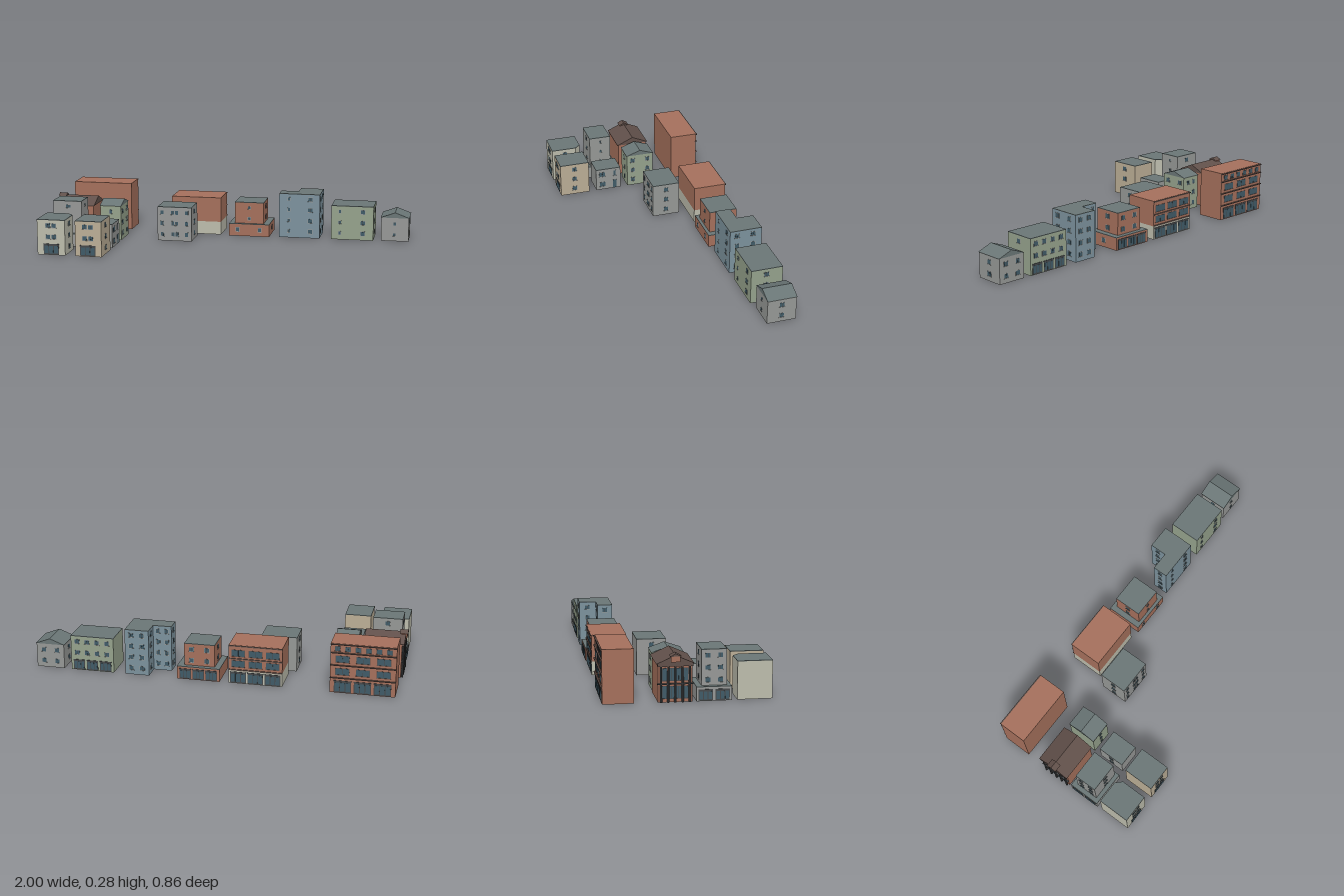
import * as THREE from 'three';

const mats = {};
const mat = (c) => (mats[c] ??= new THREE.MeshStandardMaterial({ color: c, flatShading: true }));
const C = {
  brick: 0xa5705c, slate: 0x6a7676, brown: 0x61504a, grey: 0x969896, cream: 0xbcbcac,
  tan: 0xbbae96, green: 0x95a28c, blue: 0x7c929d, pane: 0x405b67, dark: 0x45484a,
};
const FLOORS = [0.038, 0.101, 0.164, 0.226];

function add(parent, name, geo, color) {
  const m = new THREE.Mesh(geo, mat(color));
  m.name = name;
  parent.add(m);
  return m;
}

// Box from its limits
function block(parent, name, x0, x1, y0, y1, z0, z1, color) {
  const m = add(parent, name, new THREE.BoxGeometry(x1 - x0, y1 - y0, z1 - z0), color);
  m.position.set((x0 + x1) / 2, (y0 + y1) / 2, (z0 + z1) / 2);
  return m;
}

// Vertical prism over a plan of [x, z] corners
function prism(parent, name, plan, y0, y1, color) {
  const shape = new THREE.Shape(plan.map(([x, z]) => new THREE.Vector2(x, -z)));
  const geo = new THREE.ExtrudeGeometry(shape, { depth: y1 - y0, bevelEnabled: false });
  geo.rotateX(-Math.PI / 2).translate(0, y0, 0);
  return add(parent, name, geo, color);
}

// Triangular roof with its ridge along x or z
function gable(parent, axis, x0, x1, z0, z1, y0, y1, color) {
  const along = axis === 'x';
  const half = (along ? z1 - z0 : x1 - x0) / 2;
  const len = along ? x1 - x0 : z1 - z0;
  const s = new THREE.Shape([new THREE.Vector2(-half, 0), new THREE.Vector2(half, 0), new THREE.Vector2(0, y1 - y0)]);
  const geo = new THREE.ExtrudeGeometry(s, { depth: len, bevelEnabled: false });
  geo.translate(0, 0, -len / 2);
  if (along) geo.rotateY(Math.PI / 2);
  geo.translate((x0 + x1) / 2, y0, (z0 + z1) / 2);
  return add(parent, 'gableRoof', geo, color);
}

// Wall block with a thin flat roof
function storey(parent, b, y0, y1, color, roof = C.slate) {
  block(parent, 'walls', b[0], b[1], y0, y1 - 0.003, b[2], b[3], color);
  block(parent, 'flatRoof', b[0], b[1], y1 - 0.003, y1, b[2], b[3], roof);
}

// Place a thin panel on one side of a footprint b = [x0, x1, z0, z1]
function panel(parent, name, b, side, u, y, w, h, t, color) {
  const alongX = side[1] === 'z';
  const face = b[(alongX ? 2 : 0) + (side[0] === '+' ? 1 : 0)];
  const m = add(parent, name, alongX ? new THREE.BoxGeometry(w, h, t * 2) : new THREE.BoxGeometry(t * 2, h, w), color);
  m.position.set(alongX ? u : face, y, alongX ? face : u);
}

// Grid of windows: frame, pane and sill at each position
function windows(parent, b, side, us, ys, w = 0.024, h = 0.022, frame = C.grey) {
  for (const u of us) for (const y of ys) {
    panel(parent, 'windowFrame', b, side, u, y, w + 0.004, h + 0.004, 0.001, frame);
    panel(parent, 'windowPane', b, side, u, y, w, h, 0.0016, C.pane);
    panel(parent, 'windowBar', b, side, u, y, 0.0015, h, 0.002, C.dark);
    panel(parent, 'windowSill', b, side, u, y - h / 2 - 0.002, w + 0.006, 0.002, 0.003, frame);
  }
}

// Shop windows and door panels at street level
function shops(parent, b, side, us, w, h = 0.05) {
  for (const u of us) {
    panel(parent, 'shopSurround', b, side, u, 0.006 + h / 2, w + 0.006, h + 0.006, 0.001, C.dark);
    for (const k of [-1, 0, 1])
      panel(parent, 'shopPane', b, side, u + k * w / 3, 0.006 + h / 2, w / 3 - 0.004, h - 0.006, 0.002, C.pane);
    panel(parent, 'shopFascia', b, side, u, h + 0.011, w + 0.008, 0.006, 0.003, C.dark);
  }
}

const spread = (a, b, n) => Array.from({ length: n }, (_, i) => a + (b - a) * (i + 0.5) / n);

export function createModel() {
  const town = new THREE.Group();
  town.name = 'townBuildings';
  const building = (name) => {
    const g = new THREE.Group();
    g.name = name;
    town.add(g);
    return g;
  };
  let g, b;

  // Large brick block with ledges and a coping on the street side
  g = building('largeBrickBlock');
  b = [-0.975, -0.63, -0.422, -0.265];
  storey(g, b, 0, 0.275, C.brick, C.brick);
  for (const y of [0.084, 0.155, 0.224, 0.271]) panel(g, 'ledge', b, '-z', -0.8025, y, 0.345, 0.005, 0.007, C.brown);
  shops(g, b, '-z', spread(-0.96, -0.645, 3), 0.085, 0.055);
  windows(g, b, '-z', spread(-0.965, -0.64, 3), [0.12, 0.19], 0.07, 0.034, C.brown);
  windows(g, b, '-z', spread(-0.965, -0.64, 6), [0.247], 0.026, 0.024, C.brown);

  // Brick hall with a gabled roof and columned entrance
  g = building('brickHall');
  b = [-0.975, -0.775, -0.147, 0.025];
  block(g, 'walls', b[0], b[1], 0, 0.198, b[2], b[3], C.brick);
  gable(g, 'x', -0.988, -0.77, -0.157, 0.032, 0.196, 0.238, C.brown);
  block(g, 'ridgeTurret', -0.995, -0.96, 0.205, 0.236, -0.085, -0.038, C.brick);
  gable(g, 'x', -1, -0.955, -0.09, -0.033, 0.234, 0.249, C.brown);
  for (const z of spread(-0.15, 0.028, 5)) {
    const col = add(g, 'column', new THREE.CylinderGeometry(0.005, 0.006, 0.185, 8), C.dark);
    col.position.set(-0.982, 0.0925, z);
  }
  block(g, 'entablature', -0.988, -0.974, 0.182, 0.198, -0.15, 0.028, C.brown);
  block(g, 'midBand', -0.984, -0.974, 0.09, 0.096, -0.15, 0.028, C.dark);
  windows(g, b, '-x', spread(-0.132, 0.01, 4), [0.05, 0.14], 0.022, 0.06, C.dark);

  // Green gabled house
  g = building('greenGabledHouse');
  b = [-0.738, -0.617, -0.143, 0.016];
  block(g, 'walls', b[0], b[1], 0, 0.197, b[2], b[3], C.green);
  gable(g, 'x', -0.74, -0.615, -0.147, 0.02, 0.197, 0.226, C.slate);
  windows(g, b, '+x', [-0.018, -0.11], FLOORS.slice(0, 3));
  windows(g, b, '-z', [-0.7, -0.655], FLOORS.slice(0, 3), 0.018);
  windows(g, b, '+z', [-0.677], FLOORS.slice(0, 3), 0.014);

  // Grey corner house
  g = building('greyHouse');
  b = [-0.412, -0.215, -0.18, -0.023];
  storey(g, b, 0, 0.196, C.grey);
  windows(g, b, '+z', [-0.385, -0.323, -0.3, -0.243], FLOORS.slice(0, 3), 0.017);
  windows(g, b, '+x', [-0.1], FLOORS.slice(0, 3));
  windows(g, b, '-x', [-0.1], FLOORS.slice(0, 3));

  // Brick store above a pale ground floor
  g = building('brickStore');
  b = [-0.375, -0.085, -0.415, -0.23];
  block(g, 'groundFloor', b[0], b[1], 0, 0.075, b[2], b[3], C.cream);
  storey(g, b, 0.075, 0.217, C.brick, C.brick);
  shops(g, b, '-z', spread(-0.37, -0.09, 3), 0.08, 0.052);
  windows(g, b, '-z', spread(-0.37, -0.09, 3), [0.112, 0.172], 0.07, 0.034, C.brown);
  for (const y of [0.077, 0.14, 0.213]) panel(g, 'ledge', b, '-z', -0.23, y, 0.29, 0.006, 0.005, C.brown);

  // Stepped brick building
  g = building('steppedBrickBuilding');
  b = [-0.035, 0.2, -0.418, -0.218];
  storey(g, b, 0, 0.072, C.brick);
  windows(g, b, '+z', [0.015, 0.145], [FLOORS[0]], 0.018);
  windows(g, b, '+x', [-0.32], [FLOORS[0]]);
  shops(g, b, '-z', spread(-0.025, 0.19, 3), 0.058, 0.046);
  b = [-0.003, 0.165, -0.392, -0.235];
  storey(g, b, 0.072, 0.196, C.brick);
  windows(g, b, '+z', [0.081], FLOORS.slice(1, 3), 0.014, 0.014);
  windows(g, b, '-z', [0.04, 0.125], FLOORS.slice(1, 3));
  for (const s of ['+x', '-x']) windows(g, b, s, [-0.313], FLOORS.slice(1, 3));

  // Blue L-shaped apartments
  g = building('blueApartments');
  b = [0.255, 0.49, -0.415, -0.235];
  const plan = [[0.255, -0.235], [0.49, -0.235], [0.49, -0.415], [0.357, -0.415], [0.357, -0.32], [0.255, -0.32]];
  prism(g, 'walls', plan, 0, 0.253, C.blue);
  prism(g, 'flatRoof', plan, 0.253, 0.256, C.slate);
  windows(g, b, '+z', [0.312], FLOORS, 0.013, 0.016);
  windows(g, b, '+z', [0.435], FLOORS);
  windows(g, b, '+x', [-0.275, -0.366], FLOORS);
  windows(g, b, '-z', [0.395, 0.455], FLOORS);
  windows(g, [0.255, 0.357, -0.32, -0.235], '-z', [0.282, 0.33], FLOORS, 0.02);
  windows(g, [0.357, 0.49, -0.415, -0.32], '-x', [-0.37], FLOORS);
  windows(g, b, '-x', [-0.278], FLOORS);

  // Green flat-roofed building
  g = building('greenBuilding');
  b = [0.556, 0.797, -0.415, -0.24];
  storey(g, b, 0, 0.196, C.green);
  windows(g, b, '+z', [0.605], FLOORS.slice(0, 3), 0.013, 0.016);
  windows(g, b, '+z', [0.737], FLOORS.slice(0, 3));
  windows(g, b, '+x', [-0.325], FLOORS.slice(0, 3));
  windows(g, b, '-z', spread(0.565, 0.79, 4), FLOORS.slice(1, 3));
  shops(g, b, '-z', spread(0.565, 0.79, 3), 0.058, 0.046);

  // Small grey gabled house
  g = building('smallGabledHouse');
  b = [0.84, 0.996, -0.413, -0.255];
  block(g, 'walls', b[0], b[1], 0, 0.135, b[2], b[3], C.grey);
  gable(g, 'z', 0.837, 1, -0.415, -0.253, 0.135, 0.166, C.slate);
  windows(g, b, '+z', [0.916], FLOORS.slice(0, 2), 0.014, 0.016);
  for (const s of ['+x', '-x']) windows(g, b, s, [-0.333], FLOORS.slice(0, 2));
  windows(g, b, '-z', [0.88, 0.955], FLOORS.slice(0, 2));

  // Stepped grey building
  g = building('steppedGreyBuilding');
  b = [-0.98, -0.78, 0.045, 0.222];
  storey(g, b, 0, 0.073, C.grey);
  shops(g, b, '-x', [0.09, 0.175], 0.065, 0.046);
  b = [-0.955, -0.792, 0.073, 0.2];
  storey(g, b, 0.073, 0.256, C.grey);
  windows(g, b, '+x', [0.134], FLOORS.slice(1), 0.012, 0.013);
  windows(g, b, '+z', [-0.867], FLOORS.slice(1), 0.026, 0.016);
  windows(g, b, '-x', [0.105, 0.168], FLOORS.slice(1));
  windows(g, b, '-z', [-0.872], FLOORS.slice(1));

  // Low grey house with a side door
  g = building('lowGreyHouse');
  b = [-0.738, -0.615, 0.06, 0.21];
  storey(g, b, 0, 0.133, C.grey);
  windows(g, b, '+x', [0.172], [0.034, 0.1], 0.034, 0.026);
  windows(g, b, '+x', [0.096], [0.1], 0.014, 0.034);
  panel(g, 'door', b, '+x', 0.096, 0.029, 0.022, 0.05, 0.002, C.pane);
  windows(g, b, '-x', [0.135], FLOORS.slice(0, 2));

  // Cream house with a cut corner
  g = building('creamCornerHouse');
  b = [-0.975, -0.818, 0.25, 0.427];
  const cut = [[-0.975, 0.427], [-0.818, 0.427], [-0.818, 0.283], [-0.85, 0.25], [-0.975, 0.25]];
  prism(g, 'walls', cut, 0, 0.193, C.cream);
  prism(g, 'flatRoof', cut, 0.193, 0.196, C.slate);
  shops(g, b, '+z', [-0.897], 0.08, 0.048);
  windows(g, b, '+z', [-0.913, -0.88], FLOORS.slice(1, 3));
  windows(g, b, '+x', [0.35], FLOORS.slice(0, 3));

  // Tan house
  g = building('tanHouse');
  b = [-0.76, -0.613, 0.255, 0.427];
  storey(g, b, 0, 0.196, C.tan);
  shops(g, b, '+z', [-0.69], 0.08, 0.048);
  windows(g, b, '+z', [-0.706, -0.672], FLOORS.slice(1, 3));
  windows(g, b, '+x', [0.343], FLOORS.slice(0, 3));

  return town;
}
